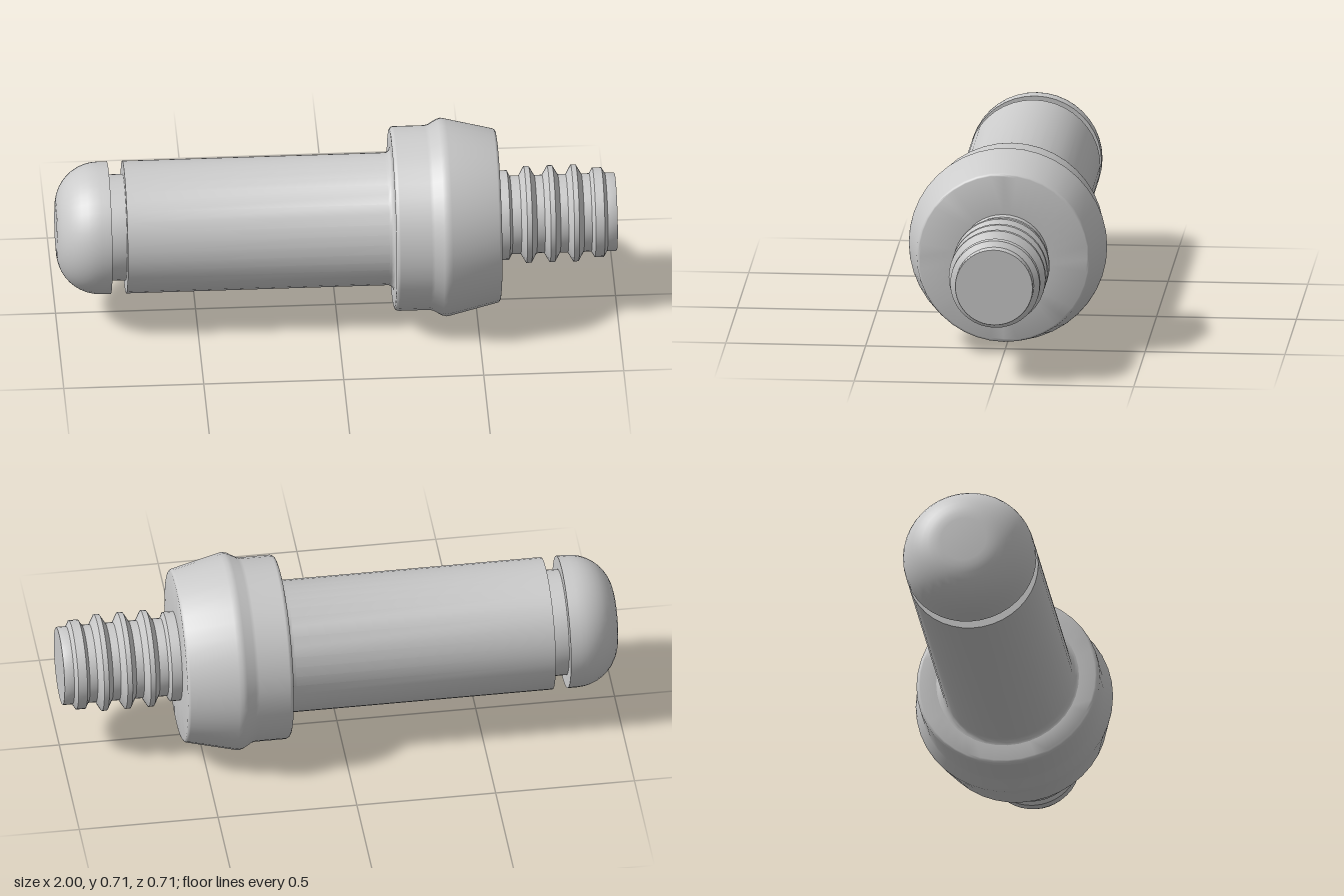
import * as THREE from 'three';
import { toCreasedNormals } from 'three/addons/utils/BufferGeometryUtils.js';

const AXIS_Y = 0.355;
const SIDES = 40;
const material = new THREE.MeshStandardMaterial({ color: 0xcccccc });

// Quarter-round points [x, radius] about a centre, between two angles in degrees
function arc(cx, cr, radius, from, to, steps) {
  return Array.from({ length: steps + 1 }, (_, i) => {
    const a = THREE.MathUtils.degToRad(from + ((to - from) * i) / steps);
    return [cx + radius * Math.cos(a), cr + radius * Math.sin(a)];
  });
}

// Revolves a profile of [x, radius] points about the long x axis
function turned(name, profile) {
  const points = profile.map(([x, r]) => new THREE.Vector2(Math.max(r, 0), x));
  const geometry = new THREE.LatheGeometry(points, SIDES);
  geometry.rotateZ(-Math.PI / 2);
  const mesh = new THREE.Mesh(toCreasedNormals(geometry, 0.6), material);
  mesh.name = name;
  return mesh;
}

export function createModel() {
  const group = new THREE.Group();
  group.name = 'turnedPin';

  // Rounded nose with a small flat end
  const nose = turned('nose', [
    [-1, 0],
    ...arc(-0.845, 0.082, 0.155, 180, 90, 10),
    [-0.81, 0.237], [-0.81, 0.19],
  ]);

  // Retaining groove behind the nose
  const groove = turned('retainingGroove', [[-0.81, 0.19], [-0.755, 0.19]]);

  // Long shaft, flaring with a fillet into the collar
  const shaft = turned('shaft', [
    [-0.755, 0.19], [-0.755, 0.237],
    ...arc(0.18, 0.257, 0.02, -90, 0, 4),
  ]);

  // Collar: straight band, raised rim, then a taper, with softened edges
  const collar = turned('collar', [
    [0.2, 0.257],
    ...arc(0.215, 0.315, 0.015, 180, 90, 4),
    [0.325, 0.33], [0.338, 0.333], [0.37, 0.351], [0.385, 0.355], [0.4, 0.352],
    ...arc(0.565, 0.298, 0.014, 75, 0, 4),
    [0.579, 0.16],
  ]);

  // Ridged stub: seat ring, three tall ridges, one low ridge, flat end
  const stubProfile = [[0.579, 0.16], [0.615, 0.16], [0.625, 0.14]];
  for (const [x, r, top] of [
    [0.685, 0.173, 0.009], [0.769, 0.173, 0.009],
    [0.853, 0.173, 0.009], [0.937, 0.16, 0.016],
  ]) {
    stubProfile.push([x - 0.028, 0.14], [x - top, r], [x + top, r], [x + 0.028, 0.14]);
  }
  stubProfile.push([0.996, 0.14], [1, 0.138], [1, 0]);
  const stub = turned('ridgedStub', stubProfile);

  group.add(nose, groove, shaft, collar, stub);
  for (const part of group.children) part.position.y = AXIS_Y;
  return group;
}
